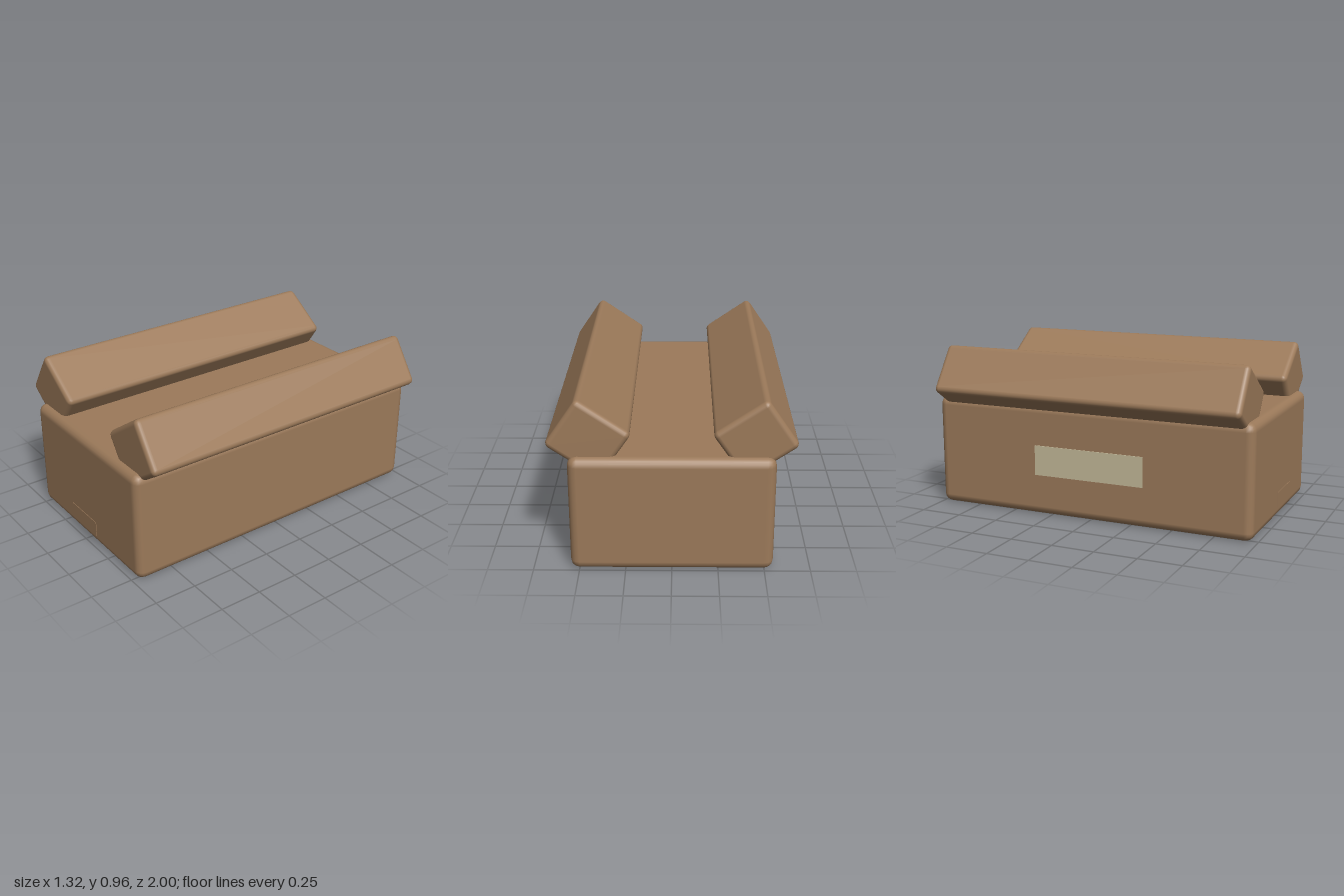
import * as THREE from 'three';
import { RoundedBoxGeometry } from 'three/addons/geometries/RoundedBoxGeometry.js';

export function createModel() {
  const model = new THREE.Group();
  model.name = 'cardboardBox';

  const cardboard = new THREE.MeshStandardMaterial({ color: 0x9c7a5a });
  cardboard.name = 'cardboard brown';
  const paper = new THREE.MeshStandardMaterial({ color: 0xc5ba9a });
  paper.name = 'paper label';

  const add = (name, geometry, material, x, y, z) => {
    const mesh = new THREE.Mesh(geometry, material);
    mesh.name = name;
    mesh.position.set(x, y, z);
    model.add(mesh);
    return mesh;
  };

  // Closed body with soft edges
  add('body', new RoundedBoxGeometry(1.098, 0.658, 1.976, 2, 0.05), cardboard, 0, 0.329, -0.012);

  // Thick tilted flaps along both long edges
  const flapGeometry = new RoundedBoxGeometry(0.347, 0.312, 1.886, 2, 0.03);
  for (const side of [1, -1]) {
    const flap = add(side > 0 ? 'leftFlap' : 'rightFlap', flapGeometry, cardboard, side * 0.44, 0.746, -0.012);
    flap.rotation.z = side * 0.6;
  }

  // Small plate standing just off the front
  add('frontPlate', new THREE.BoxGeometry(0.265, 0.09, 0.003), cardboard, 0, 0.135, 0.9985);

  // Label on the right side
  add('sideLabel', new THREE.BoxGeometry(0.006, 0.177, 0.68), paper, -0.551, 0.329, -0.003);

  return model;
}
